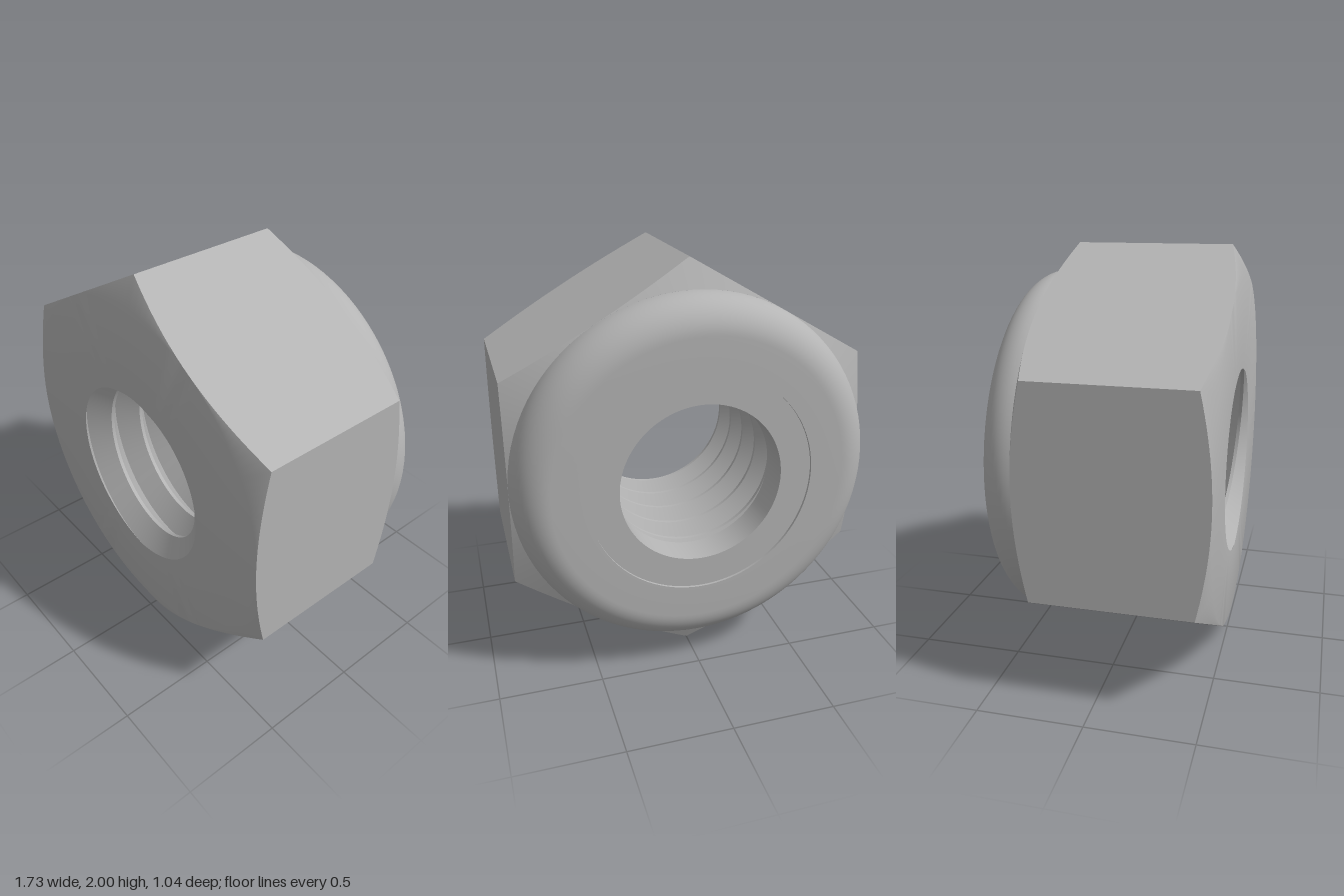
import * as THREE from 'three';
import { toCreasedNormals } from 'three/addons/utils/BufferGeometryUtils.js';

const STEPS = 144;                 // segments around the axis
const FLAT = 0.866, CORNER = 1;    // hexagon radii
const FRONT = 0.52, BACK = -0.345; // ends of the hexagonal body
const CHAMFER = 0.06;              // chamfer height at the corners
const PITCH = 0.176, CREST = 0.405, ROOT = 0.52;

// Builds a closed band from rows of points; point(row, angle) gives [radius, z]
function band(rows, point) {
  const pos = [];
  const at = (row, i) => {
    const a = (i / STEPS) * Math.PI * 2;
    const [r, z] = point(row, a);
    return new THREE.Vector3(r * Math.cos(a), r * Math.sin(a), z);
  };
  const tri = (a, b, c) => {
    const area = b.clone().sub(a).cross(c.clone().sub(a)).length();
    if (area > 1e-8) for (const p of [a, b, c]) pos.push(p.x, p.y, p.z);
  };
  for (let k = 0; k < rows.length - 1; k++) {
    for (let i = 0; i < STEPS; i++) {
      const a = at(rows[k], i), b = at(rows[k + 1], i);
      const c = at(rows[k + 1], i + 1), d = at(rows[k], i + 1);
      tri(a, b, c);
      tri(a, c, d);
    }
  }
  const geo = new THREE.BufferGeometry();
  geo.setAttribute('position', new THREE.Float32BufferAttribute(pos, 3));
  return toCreasedNormals(geo, 0.5);
}

// Hexagon radius at an angle, with corners at top and bottom
function hexRadius(a) {
  const sector = Math.PI / 3;
  return FLAT / Math.cos(a - Math.round(a / sector) * sector);
}

// Right-handed V thread: radius at an angle and depth
const turn = (a) => (a + Math.PI / 2) / (Math.PI * 2) - 0.5;
function threadRadius(a, z) {
  const phase = (z - FRONT) / PITCH - turn(a);
  const d = Math.abs(phase - Math.floor(phase) - 0.5);
  return ROOT - (ROOT - CREST) * Math.min(1, d / 0.45);
}

// Turns a [radius, depth behind the centre] profile about the z axis
function turned(profile) {
  const geo = new THREE.LatheGeometry(profile.map(([r, d]) => new THREE.Vector2(r, d)), 96);
  geo.rotateX(-Math.PI / 2);
  return toCreasedNormals(geo, 0.5);
}

export function createModel() {
  const steel = new THREE.MeshStandardMaterial({ color: 0xb4b4b4 });
  steel.name = 'steel grey';

  const nut = new THREE.Group();
  nut.name = 'lockNut';
  nut.position.y = 1;
  const add = (name, geo) => {
    const mesh = new THREE.Mesh(geo, steel);
    mesh.name = name;
    nut.add(mesh);
  };

  // Hexagonal body: front face, chamfer, flats, rear chamfer
  const drop = (a) => ((hexRadius(a) - FLAT) / (CORNER - FLAT)) * CHAMFER;
  const section = {
    hole: (a) => [threadRadius(a, FRONT), FRONT],
    frontRim: () => [FLAT, FRONT],
    frontEdge: (a) => [hexRadius(a), FRONT - drop(a)],
    backEdge: (a) => [hexRadius(a), BACK + drop(a)],
    backRim: () => [FLAT, BACK],
  };
  add('hexBody', band(Object.keys(section), (row, a) => section[row](a)));

  // Internal thread: rows follow the helix and are trimmed at both ends
  const rows = [];
  for (let k = -7; k < 2; k++) {
    for (const f of [0.05, 0.275, 0.5, 0.725, 0.95]) rows.push(k + f);
  }
  add('thread', band(rows, (phase, a) => {
    const z = THREE.MathUtils.clamp(FRONT + PITCH * (phase + turn(a)), BACK, FRONT);
    return [threadRadius(a, z), z];
  }));

  // Rounded collar at the back
  const collar = [[FLAT, -BACK]];
  const round = 0.165;
  for (let i = 0; i <= 14; i++) {
    const t = (i / 14) * Math.PI / 2;
    collar.push([FLAT - round + round * Math.cos(t), 0.52 - round + round * Math.sin(t)]);
  }
  collar.push([0.54, 0.52], [0.54, 0.505]);
  add('collar', turned(collar));

  // Locking ring set just below the collar face
  add('lockingRing', turned([[0.54, 0.508], [0.39, 0.508], [0.39, -BACK], [0.54, -BACK]]));

  const model = new THREE.Group();
  model.name = 'model';
  model.add(nut);
  return model;
}
